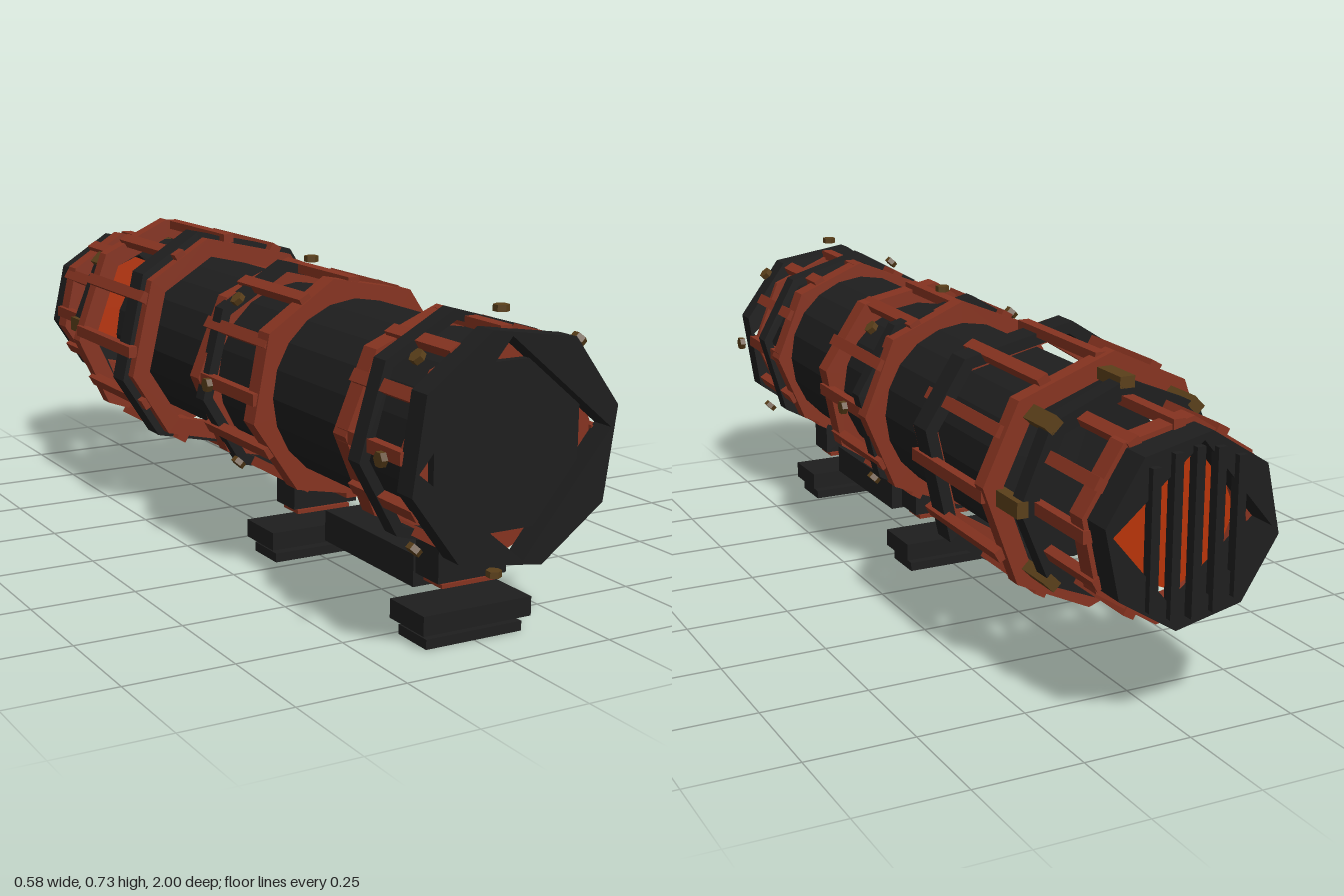
import * as THREE from 'three';

const AXIS_Y = 0.44;
const mat = (name, color) => {
  const m = new THREE.MeshStandardMaterial({ color, flatShading: true });
  m.name = name;
  return m;
};

export function createModel() {
  const dark = mat('dark metal', 0x1e1e1e);
  const rust = mat('rust red', 0x863320);
  const brass = mat('dark brass', 0x5a3f1a);
  const glow = mat('orange glow', 0xb83408);

  const root = new THREE.Group();
  root.name = 'cagedTube';
  const barrel = new THREE.Group();
  barrel.name = 'barrel';
  barrel.position.y = AXIS_Y;
  root.add(barrel);

  const add = (parent, name, geo, material, x = 0, y = 0, z = 0) => {
    const m = new THREE.Mesh(geo, material);
    m.name = name;
    m.position.set(x, y, z);
    parent.add(m);
    return m;
  };

  // Polygon corners: the given angles repeated each quarter turn
  const corners = (r, angles) => {
    const pts = [];
    for (let q = 0; q < 4; q++) for (const d of angles) {
      const t = THREE.MathUtils.degToRad(d + q * 90);
      pts.push(new THREE.Vector2(Math.cos(t) * r, Math.sin(t) * r));
    }
    return pts;
  };

  // Faceted hoop between z0 and z1
  const hoop = (name, material, z0, z1, r, inner, angles, innerAngles = angles) => {
    const s = new THREE.Shape(corners(r, angles));
    s.holes.push(new THREE.Path(corners(inner, innerAngles).reverse()));
    const g = new THREE.ExtrudeGeometry(s, { depth: z1 - z0, bevelEnabled: false });
    add(barrel, name, g, material, 0, 0, z0);
  };

  // Ring of lengthwise bars
  const bars = (name, material, n, z0, z1, r, w = 0.028, t = 0.022) => {
    const group = new THREE.Group();
    group.name = name;
    const g = new THREE.BoxGeometry(t, w, z1 - z0);
    for (let i = 0; i < n; i++) {
      const a = (i / n) * Math.PI * 2;
      const m = add(group, 'bar', g, material, Math.cos(a) * r, Math.sin(a) * r, (z0 + z1) / 2);
      m.rotation.z = a;
    }
    barrel.add(group);
  };

  // Ring of free-standing radial bolts
  const bolts = (z) => {
    const group = new THREE.Group();
    group.name = 'bolts';
    const g = new THREE.CylinderGeometry(0.017, 0.017, 0.014, 6);
    for (let i = 0; i < 8; i++) {
      const a = (i / 8) * Math.PI * 2;
      const m = add(group, 'bolt', g, brass, Math.cos(a) * 0.275, Math.sin(a) * 0.275, z);
      m.rotation.z = a - Math.PI / 2;
    }
    barrel.add(group);
  };

  // Main tube
  const tube = new THREE.CylinderGeometry(0.21, 0.21, 1.42, 20);
  tube.rotateX(Math.PI / 2);
  add(barrel, 'mainTube', tube, dark, 0, 0, 0.2);

  // Front cage: square opening in the rim shows red behind the face plate
  hoop('frontRim', dark, 0.945, 1.0, 0.255, 0.232, [15, 58], [5]);
  hoop('frontWasher', rust, 0.925, 0.94, 0.232, 0.17, [0, 45]);
  add(barrel, 'facePlate', new THREE.ExtrudeGeometry(new THREE.Shape(corners(0.193, [25, 65])),
    { depth: 0.02, bevelEnabled: false }), dark, 0, 0, 0.945);
  hoop('frontBand', dark, 0.78, 0.825, 0.262, 0.238, [8, 50]);
  hoop('frontCageRing', rust, 0.7, 0.75, 0.248, 0.205, [0, 45]);
  bars('frontCageBars', rust, 12, 0.71, 0.95, 0.232);
  bolts(0.93);

  // Middle cage
  hoop('middleCageRing', rust, 0.32, 0.37, 0.264, 0.205, [12, 56]);
  hoop('middleCageRing', rust, 0.055, 0.1, 0.264, 0.205, [0, 45]);
  hoop('middleBand', dark, 0.09, 0.13, 0.27, 0.245, [10, 52]);
  bars('middleCageBars', rust, 12, 0.06, 0.365, 0.247);
  bolts(0.17);

  // Large rear cage
  hoop('rearCageRing', rust, -0.285, -0.255, 0.283, 0.235, [13, 51]);
  hoop('rearBand', dark, -0.35, -0.285, 0.3, 0.27, [15, 50]);
  hoop('rearCageRing', rust, -0.625, -0.585, 0.288, 0.24, [5, 45]);
  bars('rearCageBars', rust, 12, -0.61, -0.26, 0.272);

  // Stepped tail cage
  bars('brassSpacers', brass, 8, -0.72, -0.61, 0.243, 0.036, 0.026);
  hoop('tailBand', dark, -0.72, -0.675, 0.25, 0.21, [0, 45]);
  bars('tailCageBars', rust, 12, -0.92, -0.69, 0.205);
  hoop('tailCageRing', rust, -0.915, -0.865, 0.22, 0.178, [10, 55]);
  hoop('tailRim', dark, -0.985, -0.905, 0.208, 0.188, [10, 55], [5]);

  // Glowing disc behind the tail grille
  const disc = new THREE.CylinderGeometry(0.15, 0.15, 0.008, 8);
  disc.rotateX(Math.PI / 2);
  add(barrel, 'glowDisc', disc, glow, 0, 0, -0.9);
  for (let i = -2; i <= 2; i++) {
    const x = i * 0.05;
    const h = 2 * Math.sqrt(0.18 ** 2 - x * x);
    add(barrel, 'grilleBar', new THREE.BoxGeometry(0.02, h, 0.025), dark, x, 0, -0.9875);
  }

  // Underside rail
  const box = (name, material, w, y0, y1, z0, z1) =>
    add(root, name, new THREE.BoxGeometry(w, y1 - y0, z1 - z0), material, 0, (y0 + y1) / 2, (z0 + z1) / 2);
  box('rail', dark, 0.13, 0.085, 0.158, 0.355, 0.73);

  // Two mounts, each a clamp, a shim and a two-layer foot
  for (const [clampZ, footZ] of [[0.812, 0.815], [0.2, 0.165]]) {
    box('clamp', dark, 0.17, 0.132, 0.235, clampZ - 0.043, clampZ + 0.043);
    box('shim', rust, 0.14, 0.117, 0.126, clampZ - 0.035, clampZ + 0.035);
    box('foot', dark, 0.27, 0.035, 0.078, footZ - 0.065, footZ + 0.065);
    box('footPlate', dark, 0.24, 0, 0.022, footZ - 0.053, footZ + 0.053);
  }
  return root;
}
